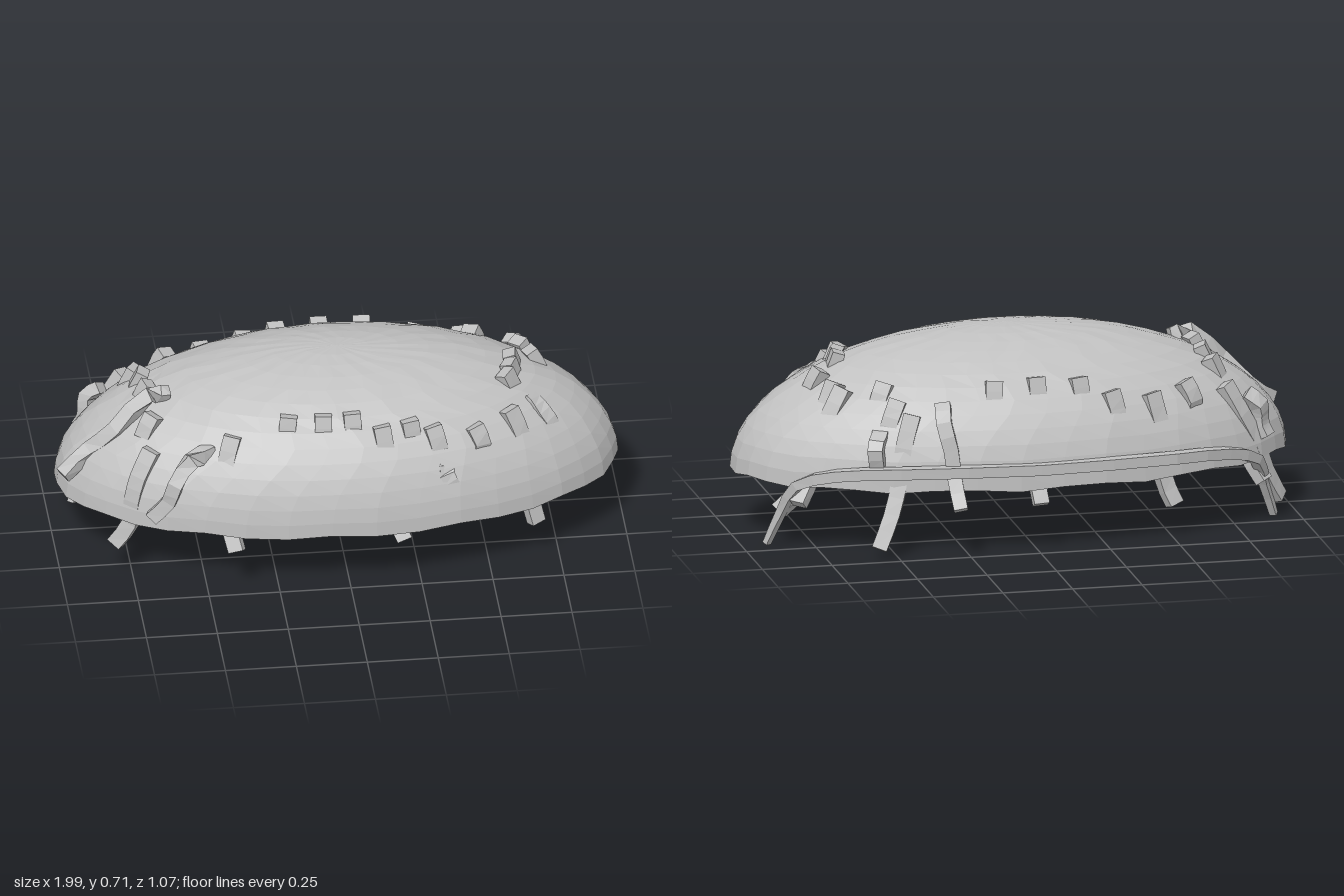
import * as THREE from 'three';

const shellGrey = new THREE.MeshStandardMaterial({ color: 0xc0c0c0, flatShading: true, side: THREE.DoubleSide });
shellGrey.name = 'shell grey';

// dome: half ellipsoid
const RX = 0.993, RY = 0.475, RZ = 0.515, BASE = 0.235, CZ = 0.022;
const domeY = (x, z) => BASE + RY * Math.sqrt(Math.max(0, 1 - (x / RX) ** 2 - ((z - CZ) / RZ) ** 2));

let seed = 7;
const jitter = (a) => {
  seed = (seed * 16807) % 2147483647;
  return (seed / 2147483647 - 0.5) * 2 * a;
};

// four-sided bar swept through points, with end caps; w is across, t is outward, scale(u) sizes the section
function sweep(pts, w, t, steps, scale) {
  const curve = new THREE.CatmullRomCurve3(pts.map((p) => new THREE.Vector3(...p)), false, 'centripetal');
  const pos = [], idx = [];
  for (let i = 0; i <= steps; i++) {
    const u = i / steps, p = curve.getPoint(u), tan = curve.getTangent(u);
    const out = new THREE.Vector3(p.x * 0.3, 0, p.z).normalize();
    const side = new THREE.Vector3().crossVectors(tan, out).normalize();
    const nor = new THREE.Vector3().crossVectors(side, tan).normalize();
    const k = scale(u);
    for (const [a, b] of [[-1, -1], [1, -1], [1, 1], [-1, 1]]) {
      const q = p.clone().addScaledVector(side, a * w * k / 2).addScaledVector(nor, b * t * k / 2);
      pos.push(q.x, q.y, q.z);
    }
  }
  for (let i = 0; i < steps; i++) {
    for (let j = 0; j < 4; j++) {
      const a = i * 4 + j, b = i * 4 + (j + 1) % 4;
      idx.push(a, b, a + 4, b, b + 4, a + 4);
    }
  }
  const e = steps * 4;
  idx.push(0, 2, 1, 0, 3, 2, e, e + 1, e + 2, e, e + 2, e + 3);
  const g = new THREE.BufferGeometry();
  g.setAttribute('position', new THREE.Float32BufferAttribute(pos, 3));
  g.setIndex(idx);
  g.computeVertexNormals();
  return g;
}

function buildDome() {
  const g = new THREE.SphereGeometry(1, 40, 14, 0, Math.PI * 2, 0, Math.PI / 2);
  const p = g.attributes.position;
  for (let i = 0; i < p.count; i++) {
    const x = p.getX(i), y = p.getY(i), z = p.getZ(i);
    const r = Math.hypot(x, z), a = Math.atan2(z, x);
    // faint swirling ridges and an uneven rim
    const ridge = 1 + 0.008 * Math.sin(17 * a + 9 * r) * r * (1.3 - r);
    const rim = 0.007 * Math.sin(13 * a) * (1 - y) ** 4;
    const twist = 0.07 * Math.sin(14 * r);
    const c = Math.cos(a + twist) * r, s = Math.sin(a + twist) * r;
    p.setXYZ(i, c * RX * ridge, BASE + y * RY * ridge + rim, CZ + s * RZ * ridge);
  }
  g.computeVertexNormals();
  return g;
}

// strands that stay under the dome: [x, z] where each top pokes through
const hidden = [
  [-0.8, -0.2], [-0.56, -0.28], [-0.28, -0.36], [-0.17, -0.33], [0.13, -0.33], [0.47, -0.31],
  [0.5, -0.24], [0.69, -0.06], [0.61, 0.02], [0.6, 0.08],
  [-0.67, -0.05], [-0.66, 0.05], [-0.66, 0.2],
  [-0.2, 0.33], [-0.08, 0.34], [0.02, 0.34], [0.22, 0.36], [0.3, 0.37], [0.45, 0.35],
];

// strands that reach below the rim: top x, z, then end x, y, z
const hanging = [
  [-0.72, -0.22, -0.93, 0.07, -0.17],
  [-0.69, -0.12, -0.86, 0.15, -0.24],
  [-0.68, 0.3, -0.81, 0.13, 0.31],
  [-0.43, -0.34, -0.51, 0.12, -0.37],
  [-0.02, -0.33, -0.01, 0.17, -0.46],
  [0.43, -0.36, 0.57, 0.04, -0.455],
  [0.64, -0.2, 0.87, 0.13, -0.19],
  [0.66, -0.16, 0.82, 0.17, -0.27],
  [-0.4, 0.35, -0.4, 0.17, 0.48],
  [0.12, 0.38, 0.19, 0.18, 0.485],
  [0.58, 0.14, 0.82, 0.18, 0.1],
  [0.58, 0.28, 0.67, 0.14, 0.35],
];

// strands that bend out through the dome wall
const escaping = [
  [[-0.6, 0.6, 0.11], [-0.67, 0.61, 0.12], [-0.79, 0.5, 0.155], [-0.88, 0.41, 0.135], [-0.98, 0.34, 0.18]],
  [[-0.47, 0.5, 0.34], [-0.55, 0.49, 0.38], [-0.61, 0.42, 0.42], [-0.63, 0.35, 0.41], [-0.69, 0.28, 0.4]],
  [[0.32, 0.52, -0.36], [0.33, 0.47, -0.425], [0.31, 0.38, -0.445], [0.3, 0.28, -0.46], [0.29, 0.18, -0.515]],
  [[0.54, 0.42, -0.34], [0.57, 0.39, -0.4], [0.56, 0.32, -0.39], [0.55, 0.25, -0.36]],
  [[0.66, 0.54, 0.17], [0.7, 0.51, 0.21], [0.74, 0.44, 0.23], [0.72, 0.34, 0.2]],
  [[0.34, 0.46, 0.39], [0.34, 0.42, 0.44], [0.37, 0.36, 0.45], [0.4, 0.3, 0.4]],
];

export function createModel() {
  const model = new THREE.Group();
  model.name = 'strandedDome';
  const add = (parent, name, geo) => {
    const m = new THREE.Mesh(geo, shellGrey);
    m.name = name;
    parent.add(m);
  };

  add(model, 'dome', buildDome());

  const strands = new THREE.Group();
  strands.name = 'strands';
  model.add(strands);
  const taper = (u) => 1 - 0.1 * u;

  // each strand pokes up, bows outward along the shell, then hangs down
  const strand = (x, z, ex, ey, ez) => {
    const top = domeY(x, z) + (Math.abs(x) > 0.55 ? 0.027 : 0.016);
    const at = (u, wob) => {
      const bow = 0.1 * Math.sin(Math.PI * u) * (1 - u);
      return [
        x * (1 + bow) + (ex - x) * u ** 1.8 + jitter(wob),
        top + (ey - top) * u,
        z * (1 + bow) + (ez - z) * u ** 1.8 + jitter(wob),
      ];
    };
    const path = [at(0, 0), at(0.25, 0.006), at(0.5, 0.018), at(0.75, 0.018), at(1, 0)];
    add(strands, 'strand', sweep(path, 0.06, 0.045, 8, taper));
  };
  for (const [x, z] of hidden) strand(x, z, x * 1.03 + jitter(0.05), 0.28 + jitter(0.03), z * 1.03 + jitter(0.03));
  for (const s of hanging) strand(...s);
  for (const path of escaping) add(strands, 'escapingStrand', sweep(path, 0.055, 0.045, 8, taper));

  // band round the back rim with thin drooping ends
  const half = [
    [0.91, 0.01, -0.172], [0.865, 0.14, -0.218], [0.825, 0.24, -0.275], [0.7, 0.29, -0.36], [0.49, 0.31, -0.455],
  ];
  const mirrored = half.map(([x, y, z]) => [-x, y, z]).reverse();
  const bandScale = (u) => 0.55 + 0.45 * Math.min(1, 4 * Math.min(u, 1 - u));
  add(model, 'backBand', sweep([...half, [0, 0.308, -0.495], ...mirrored], 0.038, 0.045, 20, bandScale));

  return model;
}
